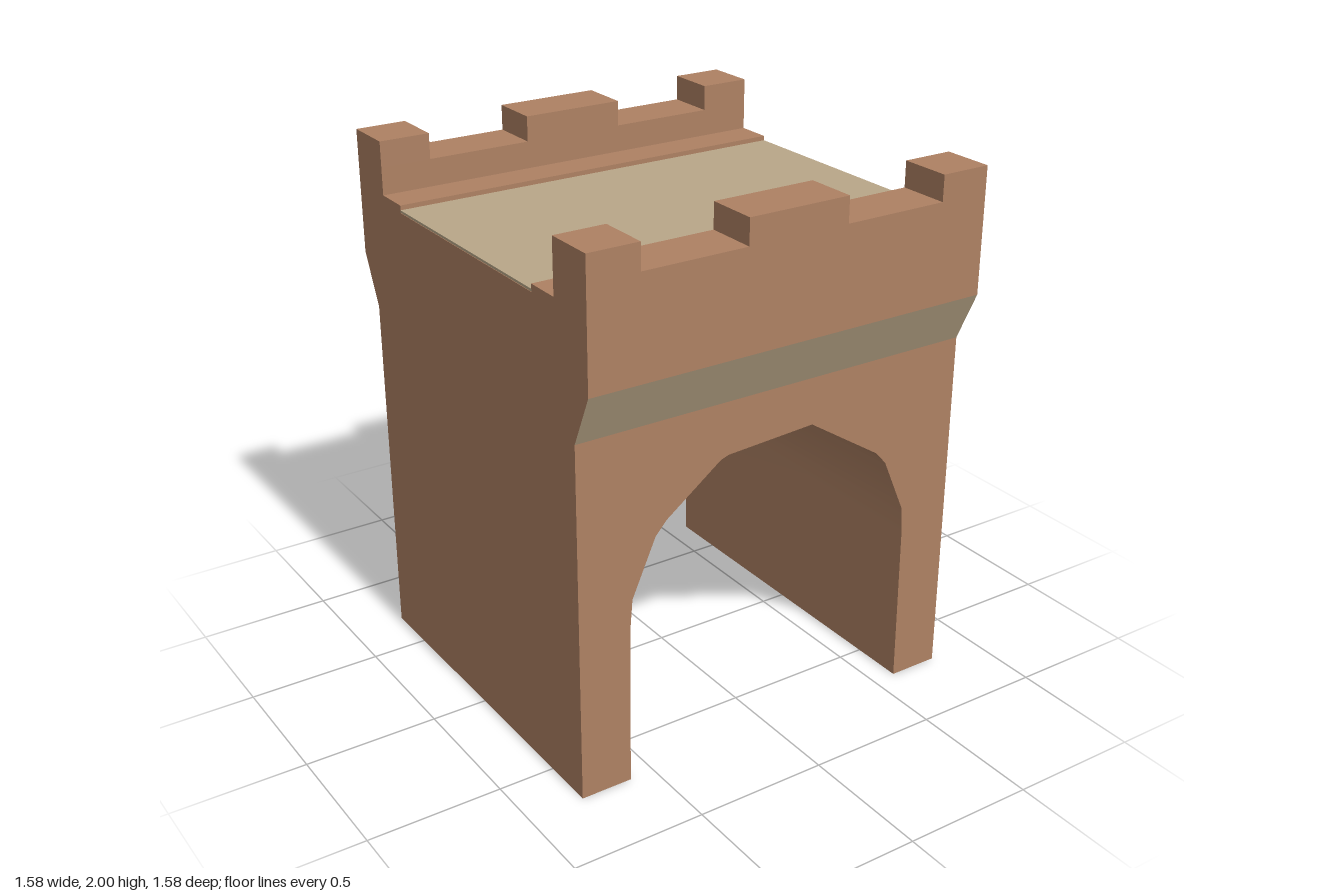
import * as THREE from 'three';
import { toCreasedNormals } from 'three/addons/utils/BufferGeometryUtils.js';

const HALF_X = 0.79;

const shapeFrom = (points) => new THREE.Shape(points.map(([x, y]) => new THREE.Vector2(x, y)));

// Extrude a symmetric (z, y) profile across the full width
function extrudeAcross(points) {
  const geo = new THREE.ExtrudeGeometry(shapeFrom(points), { depth: HALF_X * 2, bevelEnabled: false });
  return geo.translate(0, 0, -HALF_X).rotateY(Math.PI / 2);
}

// Close a half profile by mirroring it
const mirrored = (half) => [...half, ...half.map(([a, b]) => [-a, b]).reverse()];

export function createModel() {
  const group = new THREE.Group();
  const brick = new THREE.MeshStandardMaterial({ name: 'brick', color: 0xae8163 });
  const stone = new THREE.MeshStandardMaterial({ name: 'stone', color: 0xb9a688 });

  const add = (name, geometry, material) => {
    const mesh = new THREE.Mesh(geometry, material);
    mesh.name = name;
    group.add(mesh);
    return mesh;
  };

  // Lower gatehouse with the arched passage running front to back
  const passage = [
    [0.595, 0], [0.59, 0.62], [0.582, 0.72], [0.49, 0.93], [0.445, 0.98], [0.15, 1.17],
    [-0.2, 1.15], [-0.23, 1.14], [-0.445, 0.98], [-0.49, 0.93], [-0.582, 0.72], [-0.59, 0.62], [-0.595, 0],
  ];
  const walls = new THREE.ExtrudeGeometry(
    shapeFrom([[-HALF_X, 0], [-HALF_X, 1.345], [HALF_X, 1.345], [HALF_X, 0], ...passage]),
    { depth: 1.406, bevelEnabled: false },
  ).translate(0, 0, -0.703);
  add('archedWalls', toCreasedNormals(walls, 0.65), brick);

  // Flared course: brick ends, stone slopes
  add('flaredBand', extrudeAcross(mirrored([[0.703, 1.345], [0.79, 1.535]])), [brick, stone]);

  // Parapets, inner ledges and the trough for the walkway
  add('parapets', extrudeAcross(mirrored([
    [0.79, 1.535], [0.79, 1.905], [0.597, 1.905], [0.597, 1.803], [0.46, 1.803], [0.46, 1.775],
  ])), brick);

  // Walkway surface
  add('walkway', new THREE.BoxGeometry(HALF_X * 2, 0.009, 0.92), stone).position.y = 1.781;

  // Merlons: a corner pair and a wide centre block on each parapet
  for (const side of [1, -1]) {
    for (const [x, width] of [[-0.694, 0.192], [0, 0.395], [0.694, 0.192]]) {
      const merlon = add('merlon', new THREE.BoxGeometry(width, 0.095, 0.193), brick);
      merlon.position.set(x, 1.9525, side * 0.6935);
    }
  }
  return group;
}
